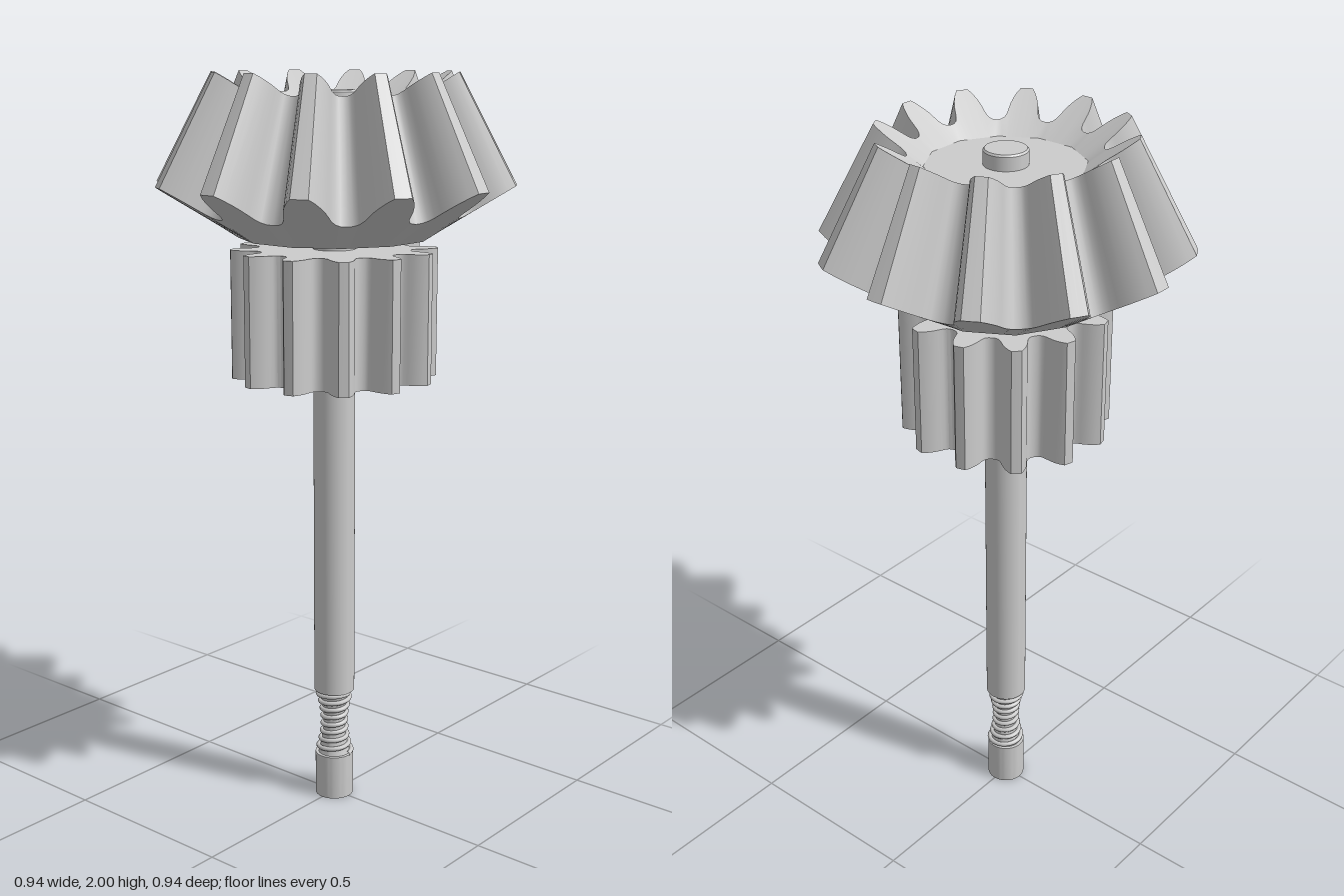
import * as THREE from 'three';
import { toCreasedNormals } from 'three/addons/utils/BufferGeometryUtils.js';

const TEETH = 12;
const STEP = (Math.PI * 2) / TEETH;
const TIP = 0.47;
const rad = THREE.MathUtils.degToRad;

// Half a tooth from tip to valley: [degrees from tooth centre, radius]
const halfTooth = [
  [0, 0.47], [2.7, 0.47], [4.4, 0.452], [6, 0.43], [7.2, 0.41], [8.1, 0.39],
  [9, 0.372], [10.4, 0.358], [12.5, 0.35], [15, 0.348],
];

// Full outline as [angle, radius], counter-clockwise from above
const outline = [];
for (let t = 0; t < TEETH; t++) {
  const left = halfTooth.slice(1).reverse().map(([a, r]) => [-a, r]);
  for (const [a, r] of [...left, ...halfTooth.slice(0, -1)]) {
    outline.push([t * STEP + rad(a), r]);
  }
}

// Cross-section rules: each maps (angle, tooth radius) to [radius, height]
const centre = (y) => () => [0, y];
const polygon = (apothem, y) => (a) => [apothem / Math.cos(a - Math.round(a / STEP) * STEP), y];
const toothed = (tip, y, slope) => (a, r) => {
  const radius = (r * tip) / TIP;
  return [radius, y - slope * (tip - radius)];
};

// Skin the sections from the bottom upward
function gearGeometry(sections) {
  const layers = sections.map((rule) => outline.map(([a, r]) => {
    const [radius, y] = rule(a, r);
    return new THREE.Vector3(Math.sin(a) * radius, y, Math.cos(a) * radius);
  }));
  const pos = [];
  const add = (...pts) => pts.forEach((p) => pos.push(p.x, p.y, p.z));
  for (let l = 0; l < layers.length - 1; l++) {
    const lo = layers[l], hi = layers[l + 1];
    for (let i = 0; i < outline.length; i++) {
      const j = (i + 1) % outline.length;
      if (l > 0) add(lo[i], lo[j], hi[j]);
      if (l < layers.length - 2) add(lo[i], hi[j], hi[i]);
    }
  }
  const geo = new THREE.BufferGeometry();
  geo.setAttribute('position', new THREE.Float32BufferAttribute(pos, 3));
  return toCreasedNormals(geo, 0.45);
}

function lathe(points, segments = 48) {
  const geo = new THREE.LatheGeometry(points.map(([r, y]) => new THREE.Vector2(r, y)), segments);
  return toCreasedNormals(geo, 0.6);
}

export function createModel() {
  const group = new THREE.Group();
  const material = new THREE.MeshStandardMaterial({ color: 0xcccccc });
  const part = (name, geo) => {
    const mesh = new THREE.Mesh(geo, material);
    mesh.name = name;
    group.add(mesh);
    return mesh;
  };

  // Bevel gear: back cone, tapering teeth, sunken front cone and flat hub
  part('bevelGear', gearGeometry([
    centre(1.58), polygon(0.24, 1.58),
    toothed(0.47, 1.72, 0.62), toothed(0.32, 2.0, 0.66),
    polygon(0.192, 1.915), centre(1.915),
  ]));

  // Straight pinion, turned half a tooth against the bevel gear
  part('pinion', gearGeometry([
    centre(1.21), toothed(0.272, 1.21, 0), toothed(0.272, 1.55, 0), centre(1.55),
  ])).rotation.y = STEP / 2;

  // Long shaft with a fine chamfer on top
  part('shaft', lathe([[0, 0.315], [0.056, 0.315], [0.056, 1.95], [0.052, 1.955], [0, 1.955]]));

  // Foot below the threaded neck
  part('foot', lathe([[0, 0], [0.053, 0], [0.053, 0.125], [0, 0.125]]));

  // Waisted neck core and the helical thread around it
  const y0 = 0.12, y1 = 0.318;
  const waist = (t) => 0.03 + 0.016 * (2 * t - 1) ** 2;
  const core = [];
  for (let i = 0; i <= 16; i++) core.push([waist(i / 16), y0 + (y1 - y0) * (i / 16)]);
  part('neck', lathe(core, 32));

  const turns = 8;
  const helix = new THREE.Curve();
  helix.getPoint = (t, target = new THREE.Vector3()) => {
    const a = t * turns * Math.PI * 2;
    const r = waist(t) + 0.003;
    return target.set(Math.sin(a) * r, y0 + 0.008 + (y1 - y0 - 0.016) * t, Math.cos(a) * r);
  };
  part('neckThread', new THREE.TubeGeometry(helix, turns * 28, 0.0065, 8));

  return group;
}
